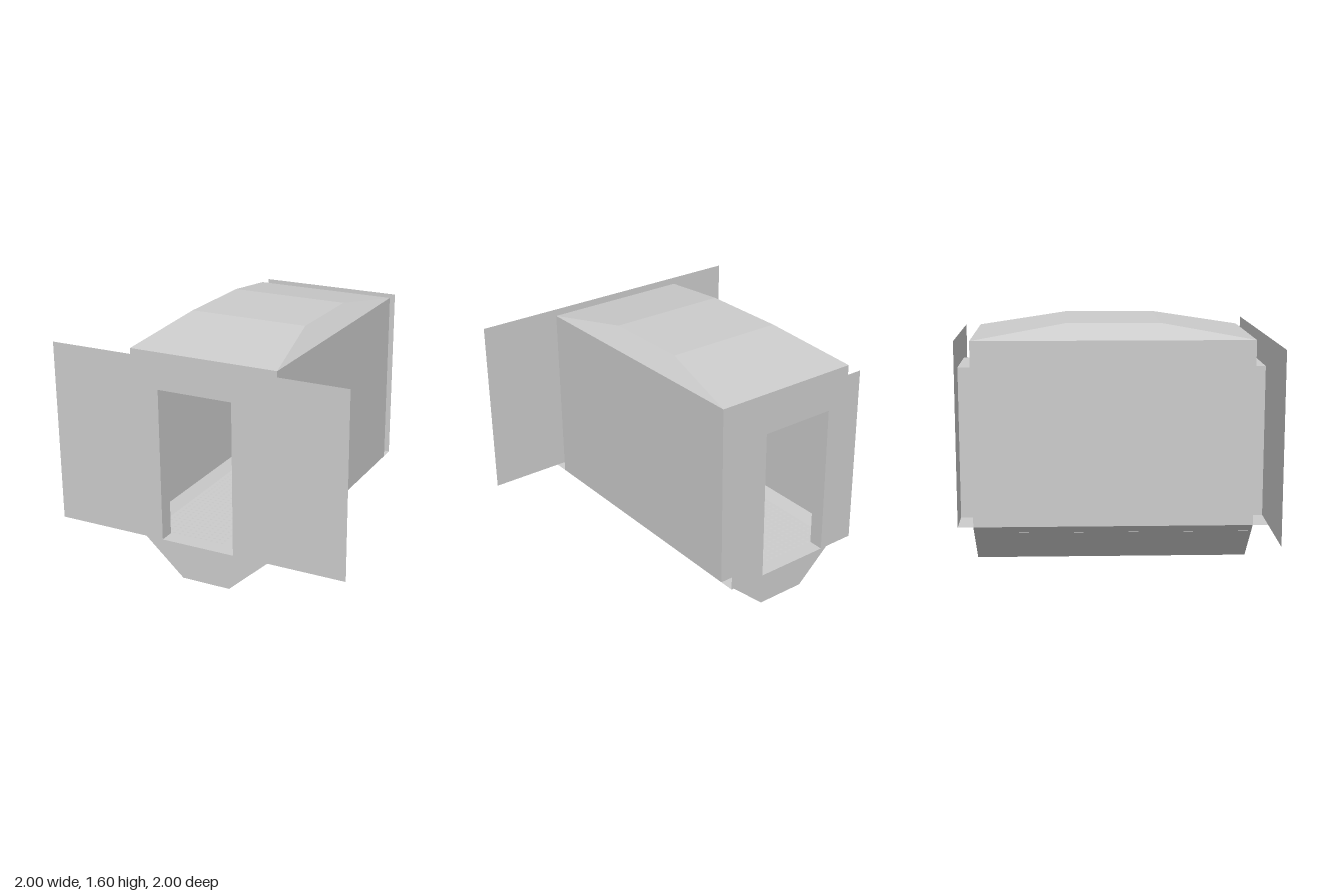
import * as THREE from 'three';
import { mergeGeometries } from 'three/addons/utils/BufferGeometryUtils.js';

const material = new THREE.MeshStandardMaterial({ color: 0xcccccc, flatShading: true, side: THREE.DoubleSide });
const BASE = 0.3, EAVE = 1.5, LINTEL = 1.3, DOOR = 0.25, HALF_W = 0.5, HALF_L = 0.9;

// One flat four-cornered sheet, corners counter-clockwise from its outside
function quad(a, b, c, d) {
  const g = new THREE.BufferGeometry();
  g.setAttribute('position', new THREE.Float32BufferAttribute([a, b, c, a, c, d].flat(), 3));
  g.computeVertexNormals();
  return g;
}

// Flat sheet in the xy plane, placed at z
function sheet(points, z) {
  const shape = new THREE.Shape(points.map(([x, y]) => new THREE.Vector2(x, y)));
  const g = new THREE.ShapeGeometry(shape);
  if (z < 0) g.rotateY(Math.PI);
  return g.translate(0, 0, z);
}

// Wall with a doorway cut up from its lower edge
const doorWall = (half, z) => sheet([
  [-half, BASE], [-DOOR, BASE], [-DOOR, LINTEL], [DOOR, LINTEL],
  [DOOR, BASE], [half, BASE], [half, EAVE], [-half, EAVE],
], z);

export function createModel() {
  const model = new THREE.Group();
  const add = (name, geometry) => {
    const mesh = new THREE.Mesh(geometry, material);
    mesh.name = name;
    model.add(mesh);
    return mesh;
  };

  // Long side walls and the sloping sides of the keel
  for (const [side, s] of [['left', 1], ['right', -1]]) {
    const x = s * HALF_W, k = s / 6, L = s * HALF_L;
    add(side + 'Wall', quad([x, BASE, L], [x, BASE, -L], [x, EAVE, -L], [x, EAVE, L]));
    add(side + 'KeelSide', quad([k, 0, L], [k, 0, -L], [x, BASE, -L], [x, BASE, L]));
    // Hipped roof sides
    add(side + 'RoofSlope', quad([x, EAVE, L], [x, EAVE, -L], [s * 0.4, 1.6, -s * 0.3], [s * 0.4, 1.6, s * 0.3]));
  }

  // Both ends: inner wall, keel cap, roof slope and door vestibule
  for (const [end, s] of [['front', 1], ['back', -1]]) {
    const z0 = s * HALF_L, z1 = s, w = s * HALF_W, t = s * 0.4;
    add(end + 'InnerWall', doorWall(HALF_W, z0));
    add(end + 'KeelCap', sheet([[-1 / 6, 0], [1 / 6, 0], [HALF_W, BASE], [-HALF_W, BASE]], z0));
    add(end + 'RoofSlope', quad([-w, EAVE, z0], [w, EAVE, z0], [t, 1.6, s * 0.3], [-t, 1.6, s * 0.3]));
    add(end + 'Sill', quad([-w, BASE, z1], [w, BASE, z1], [w, BASE, z0], [-w, BASE, z0]));
    add(end + 'Lintel', quad([-s * DOOR, LINTEL, z0], [s * DOOR, LINTEL, z0], [s * DOOR, LINTEL, z1], [-s * DOOR, LINTEL, z1]));
    for (const x of [-s * DOOR, s * DOOR]) {
      const near = x < 0 ? Math.max(z0, z1) : Math.min(z0, z1);
      const far = z0 + z1 - near;
      add(end + 'Jamb', quad([x, BASE, near], [x, BASE, far], [x, LINTEL, far], [x, LINTEL, near]));
    }
  }

  // Outer door panels: the front one is twice as wide
  add('frontPanel', doorWall(1, 1));
  add('backPanel', doorWall(HALF_W, -1));

  // Flat top of the roof and bottom of the keel
  add('roofTop', new THREE.PlaneGeometry(0.8, 0.6).rotateX(-Math.PI / 2)).position.y = 1.6;
  add('keelBottom', new THREE.PlaneGeometry(1 / 3, 1.8).rotateX(Math.PI / 2));

  // Open grating laid in the top of the keel
  const bars = [];
  for (let i = 0; i <= 22; i++) {
    bars.push(new THREE.PlaneGeometry(0.024, 1.8).rotateX(-Math.PI / 2).translate(-0.429 + i * 0.039, 0.245, 0));
  }
  for (let i = 0; i <= 45; i++) {
    bars.push(new THREE.PlaneGeometry(0.88, 0.024).rotateX(-Math.PI / 2).translate(0, 0.247, -0.888 + i * 1.776 / 45));
  }
  add('floorGrating', mergeGeometries(bars));

  return model;
}
